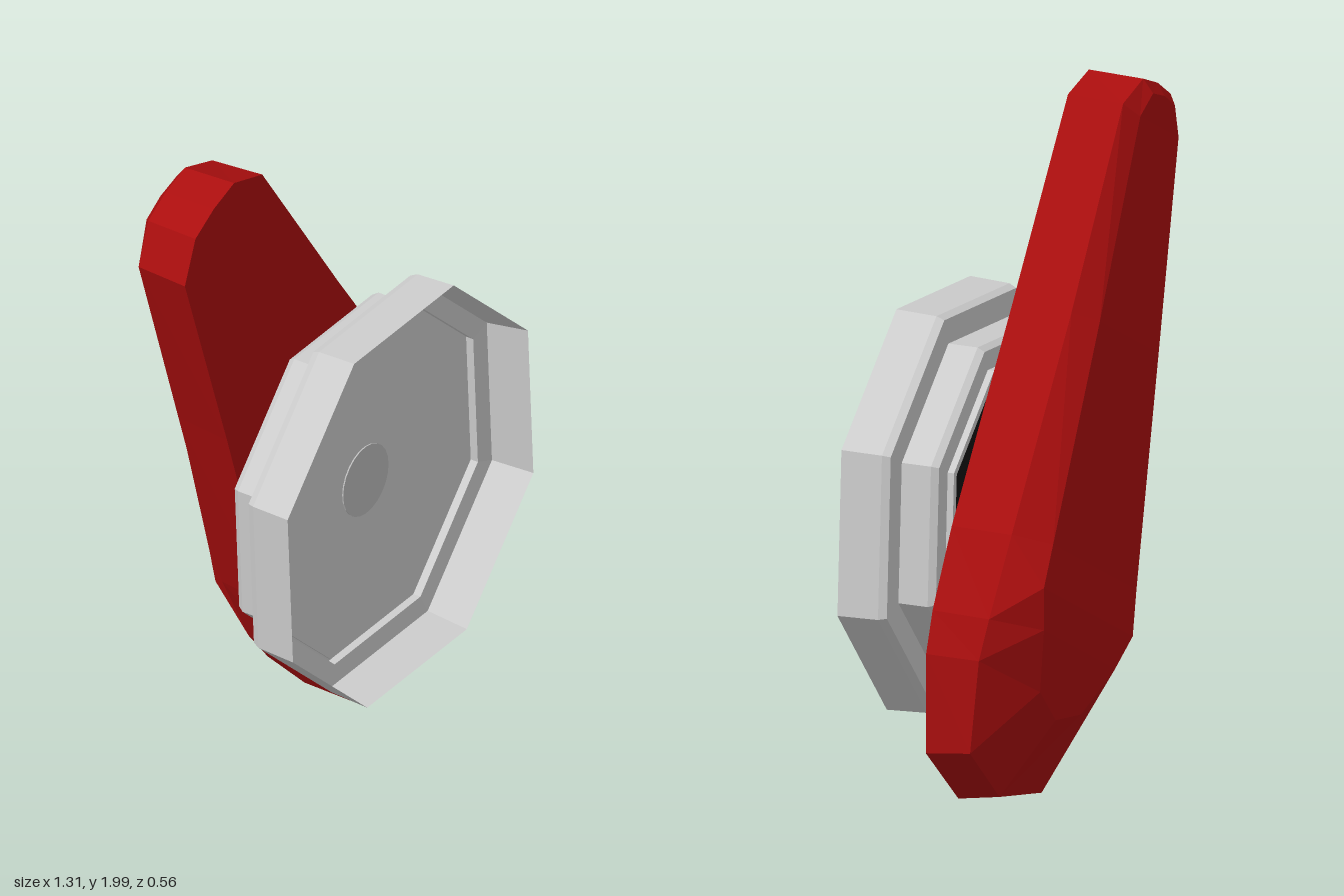
import * as THREE from 'three';

const GREY = 0xcccccc, RED = 0xaa0e0e, BLACK = 0x111111;
const mat = (color) => new THREE.MeshStandardMaterial({ color, flatShading: true });

function part(name, geometry, color) {
  const mesh = new THREE.Mesh(geometry, mat(color));
  mesh.name = name;
  return mesh;
}

// Turns an eight-sided profile of [radius, z] points about the z axis
function octagonTurned(profile) {
  const pts = profile.map(([r, z]) => new THREE.Vector2(r, z));
  const g = new THREE.LatheGeometry(pts, 8, THREE.MathUtils.degToRad(25.6));
  return g.rotateX(Math.PI / 2);
}

// Mirrors half outlines [u, v, z] into full loops, joins them and caps both ends
function loftMirrored(halves) {
  const rings = halves.map((h) => [
    ...h,
    ...h.slice(1, -1).reverse().map(([u, v, z]) => [u, -v, z]),
  ]);
  const n = rings[0].length;
  const index = [];
  for (let k = 0; k < rings.length - 1; k++) {
    for (let i = 0; i < n; i++) {
      const j = (i + 1) % n, a = k * n, b = a + n;
      index.push(a + i, a + j, b + j, a + i, b + j, b + i);
    }
  }
  const last = (rings.length - 1) * n;
  for (let i = 0; i < n / 2; i++) {
    const p = i + 1, q = n - i - 1, r = (n - i) % n;
    if (p !== q) index.push(last + i, last + p, last + q, i, q, p);
    if (r !== i) index.push(last + i, last + q, last + r, i, r, q);
  }
  const g = new THREE.BufferGeometry();
  g.setAttribute('position', new THREE.Float32BufferAttribute(rings.flat(2), 3));
  g.setIndex(index);
  const flat = g.toNonIndexed();
  flat.computeVertexNormals();
  return flat;
}

export function createModel() {
  const model = new THREE.Group();
  model.name = 'leverKnob';
  const knob = new THREE.Group();
  knob.name = 'knob';
  knob.position.set(0.05, 0.835, 0);
  model.add(knob);

  // Stepped octagonal base, hollow at the front
  knob.add(part('base', octagonTurned([
    [0, 0.03], [0.44, 0.03], [0.44, 0], [0.46, 0], [0.46, 0.02],
    [0.522, 0.02], [0.535, 0.04], [0.535, 0.132], [0.615, 0.132], [0.626, 0.155],
    [0.632, 0.28], [0.61, 0.15], [0.545, 0.145], [0.545, 0.12], [0, 0.12],
  ]), GREY));

  // Dark plate set into the back of the base
  knob.add(part('backPlate', octagonTurned([[0, 0.005], [0.44, 0.005], [0.44, 0.03]]), BLACK));

  // Small round hub on the floor of the hollow
  const hub = new THREE.CylinderGeometry(0.11, 0.11, 0.006, 24).rotateX(Math.PI / 2);
  const hubMesh = part('hub', hub, 0xbbbbbb);
  hubMesh.position.z = 0.121;
  knob.add(hubMesh);

  // Teardrop lever: flat front outline, wall edge, raised back plateau
  const outline = [
    [-1.26, 0, 0], [-1.25, 0.105, 0], [-1.155, 0.21, 0], [-0.52, 0.3, 0], [0.15, 0.405, 0],
    [0.4, 0.42, 0], [0.525, 0.405, 0], [0.787, 0.275, 0], [0.86, 0, 0],
  ];
  const wallEdge = [
    [-1.255, 0, -0.17], [-1.245, 0.1, -0.17], [-1.15, 0.2, -0.17], [-0.52, 0.285, -0.18], [0.15, 0.385, -0.18],
    [0.4, 0.39, -0.165], [0.52, 0.37, -0.15], [0.77, 0.262, -0.13], [0.84, 0, -0.125],
  ];
  const plateau = [
    [-1.22, 0, -0.2], [-1.21, 0.08, -0.2], [-1.13, 0.14, -0.203], [-0.52, 0.215, -0.24], [0.15, 0.305, -0.276],
    [0.28, 0.325, -0.284], [0.39, 0.26, -0.28], [0.55, 0.15, -0.255], [0.6, 0, -0.25],
  ];
  const lever = part('lever', loftMirrored([outline, wallEdge, plateau]), RED);
  lever.rotation.z = -1.105;
  knob.add(lever);

  return model;
}
